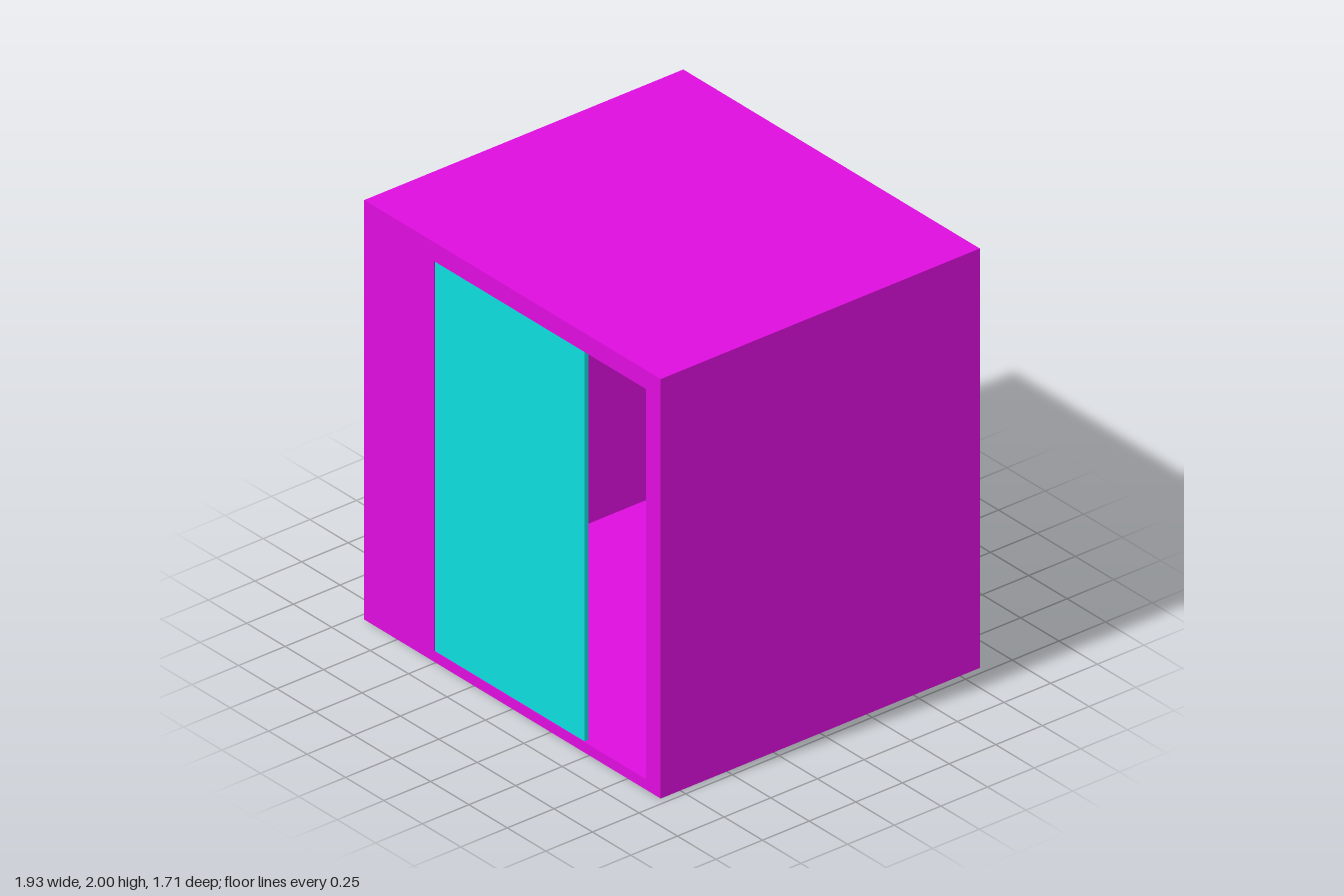
import * as THREE from 'three';

const W = 1.93, H = 2, D = 1.71, T = 0.035; // outer size and wall thickness
const FLOOR = 0.045;
const OPENING = { x0: -0.51, x1: 0.87, y0: 0.05, y1: 1.91 };
const DOOR_RIGHT = 0.465;

export function createModel() {
  const model = new THREE.Group();
  const wallMaterial = new THREE.MeshStandardMaterial({ color: 0xdd0ddd });
  const doorMaterial = new THREE.MeshStandardMaterial({ color: 0x0ddddd });

  function add(name, geometry, material, x, y, z) {
    const mesh = new THREE.Mesh(geometry, material);
    mesh.name = name;
    mesh.position.set(x, y, z);
    model.add(mesh);
  }
  const box = (w, h, d) => new THREE.BoxGeometry(w, h, d);

  // Floor and roof span the whole footprint behind the front wall
  const innerD = D - T;
  const wallH = H - FLOOR - T;
  const wallY = FLOOR + wallH / 2;
  add('floor', box(W, FLOOR, innerD), wallMaterial, 0, FLOOR / 2, -T / 2);
  add('roof', box(W, T, innerD), wallMaterial, 0, H - T / 2, -T / 2);

  // Back and side walls
  add('backWall', box(W, wallH, T), wallMaterial, 0, wallY, -D / 2 + T / 2);
  for (const [name, side] of [['leftWall', 1], ['rightWall', -1]]) {
    add(name, box(T, wallH, D - 2 * T), wallMaterial, side * (W - T) / 2, wallY, 0);
  }

  // Front wall with a wide doorway
  const { x0, x1, y0, y1 } = OPENING;
  const front = new THREE.Shape([
    new THREE.Vector2(-W / 2, 0), new THREE.Vector2(W / 2, 0),
    new THREE.Vector2(W / 2, H), new THREE.Vector2(-W / 2, H),
  ]);
  front.holes.push(new THREE.Path([
    new THREE.Vector2(x0, y0), new THREE.Vector2(x0, y1),
    new THREE.Vector2(x1, y1), new THREE.Vector2(x1, y0),
  ]));
  const frontWall = new THREE.ExtrudeGeometry(front, { depth: T, bevelEnabled: false });
  add('frontWall', frontWall, wallMaterial, 0, 0, D / 2 - T);

  // Sliding door, left partly open
  const doorT = 0.02;
  add('slidingDoor', box(DOOR_RIGHT - x0, y1 - y0, doorT), doorMaterial,
    (x0 + DOOR_RIGHT) / 2, (y0 + y1) / 2, D / 2 - 0.004 - doorT / 2);

  return model;
}
